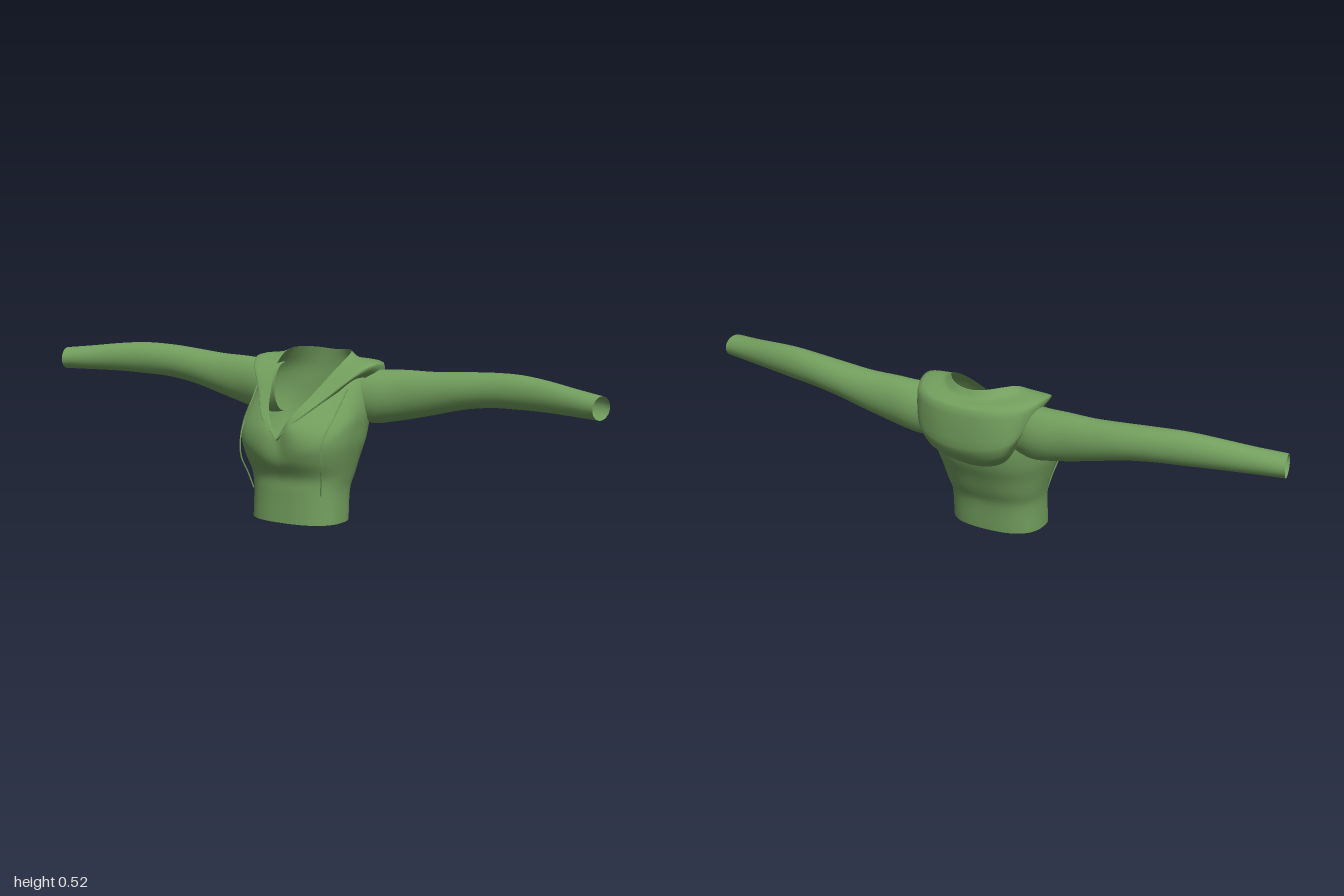
import * as THREE from 'three';
import { mergeVertices } from 'three/addons/utils/BufferGeometryUtils.js';

const V = (x, y, z) => new THREE.Vector3(x, y, z);

// Smooth surface from a function of u, v in 0..1
function surface(nu, nv, fn) {
  const pos = [], idx = [], w = nu + 1;
  for (let j = 0; j <= nv; j++)
    for (let i = 0; i <= nu; i++) pos.push(...fn(i / nu, j / nv).toArray());
  for (let j = 0; j < nv; j++)
    for (let i = 0; i < nu; i++) {
      const a = j * w + i, b = a + 1, c = b + w, d = a + w;
      idx.push(a, b, d, b, c, d);
    }
  let g = new THREE.BufferGeometry();
  g.setAttribute('position', new THREE.Float32BufferAttribute(pos, 3));
  g.setIndex(idx);
  g = mergeVertices(g, 1e-5);
  g.computeVertexNormals();
  return g;
}

// Smoothly interpolate a table whose first column is the key
function lookup(table, key) {
  let i = 0;
  while (i < table.length - 2 && key > table[i + 1][0]) i++;
  const at = (k) => table[Math.min(Math.max(k, 0), table.length - 1)];
  const [p, a, b, n] = [at(i - 1), at(i), at(i + 1), at(i + 2)];
  const h = b[0] - a[0], t = THREE.MathUtils.clamp((key - a[0]) / h, 0, 1);
  return a.slice(1).map((v, c) => {
    const m0 = (b[c + 1] - p[c + 1]) / (b[0] - p[0]) * h;
    const m1 = (n[c + 1] - a[c + 1]) / (n[0] - a[0]) * h;
    const t2 = t * t, t3 = t2 * t;
    return (2 * t3 - 3 * t2 + 1) * v + (t3 - 2 * t2 + t) * m0
      + (3 * t2 - 2 * t3) * b[c + 1] + (t3 - t2) * m1;
  });
}

// Torso levels: height, half width, front z, back z
const TORSO = [
  [0, .155, .168, -.047], [.1, .155, .166, -.06], [.145, .164, .168, -.08],
  [.2, .178, .197, -.102], [.25, .19, .212, -.125], [.3, .195, .205, -.138],
  [.35, .198, .168, -.14], [.4, .195, .115, -.14], [.45, .178, .058, -.14],
  [.5, .135, 0, -.136], [.53, .11, -.02, -.132],
];

// Sleeve stations: x, top y, bottom y, back z, front z
const SLEEVE = [
  [.14, .468, .31, -.125, 0], [.2, .47, .3, -.138, 0], [.25, .472, .308, -.14, -.01],
  [.3, .475, .318, -.136, -.02], [.4, .476, .342, -.135, -.028], [.5, .483, .367, -.134, -.03],
  [.6, .49, .382, -.126, -.03], [.7, .492, .387, -.11, -.022], [.8, .484, .39, -.09, -.008],
  [.9, .472, .39, -.066, .012], [1, .461, .39, -.045, .038],
];

// Hood sections from the V tip round to the back: neckline, rim, belly, lower edge
const HOOD = [
  [V(0, .274, .196), V(0, .268, .2), V(0, .266, .198), V(0, .262, .195)],
  [V(.04, .34, .178), V(.06, .33, .187), V(.063, .327, .183), V(.063, .325, .172)],
  [V(.075, .4, .117), V(.125, .4, .108), V(.128, .396, .103), V(.127, .392, .09)],
  [V(.108, .472, .035), V(.19, .47, .034), V(.193, .462, .028), V(.18, .45, .02)],
  [V(.115, .512, -.04), V(.215, .492, -.035), V(.205, .455, -.06), V(.178, .42, -.08)],
  [V(.092, .52, -.09), V(.185, .482, -.135), V(.172, .385, -.16), V(.135, .31, -.12)],
  [V(.05, .516, -.127), V(.105, .475, -.193), V(.1, .355, -.2), V(.08, .268, -.125)],
  [V(0, .512, -.138), V(0, .471, -.208), V(0, .345, -.211), V(0, .252, -.122)],
];
const mirrorX = (p) => V(-p.x, p.y, p.z);
const hoodCurves = [0, 1, 2, 3].map((c) => {
  const half = HOOD.map((s) => s[c]);
  return new THREE.CatmullRomCurve3(
    [...half, ...half.slice(0, -1).reverse().map(mirrorX)], false, 'catmullrom', .5);
});

// Point on the torso shell at a given angle (0 = front) and height
function shell(a, y) {
  const [hw, zf, zb] = lookup(TORSO, y);
  const zc = (zf + zb) / 2, e = 2 / 2.5;
  const pw = (v) => Math.sign(v) * Math.pow(Math.abs(v), e);
  const x = hw * pw(Math.sin(a));
  let z = zc + (zf - zb) / 2 * pw(Math.cos(a));
  // Shallow hollow between the two sides of the chest
  if (Math.cos(a) > 0) z -= .014 * Math.exp(-((x / .035) ** 2) - ((y - .26) / .05) ** 2);
  return V(x, y, z);
}

function torsoPoint(u, v) {
  const a = u * Math.PI * 2, neck = hoodCurves[0].getPoint(u);
  const p = shell(a, v * neck.y);
  const pull = neck.clone().sub(shell(a, neck.y));
  return p.addScaledVector(pull, THREE.MathUtils.smoothstep(v, .65, 1));
}

function hoodPoint(u, v) {
  const [inner, rim, belly, low] = hoodCurves.map((c) => c.getPoint(u));
  const back = THREE.MathUtils.smoothstep(-inner.z, 0, .12);
  // Crease behind the collar, then the fabric rises to the rim
  const fold = inner.clone().lerp(rim, .25);
  fold.y -= .014 * back;
  // Sagging underside of the bag
  const sag = belly.clone().lerp(low, .6);
  sag.z -= .022 * back;
  const section = new THREE.CatmullRomCurve3(
    [inner, fold, rim, belly, sag, low], false, 'catmullrom', .3);
  return section.getPoint(1 - v);
}

function sleevePoint(side) {
  return (u, v) => {
    const x = .14 + .86 * v, a = u * Math.PI * 2;
    const [top, bottom, zb, zf] = lookup(SLEEVE, x);
    const s = Math.sin(a) * side;
    const y = (top + bottom) / 2 + (top - bottom) / 2 * Math.cos(a);
    const z = (zf + zb) / 2 + (zf - zb) / 2 * s;
    // The cuff is cut square to the bent forearm
    const slant = .009 * (1 + s) * THREE.MathUtils.smoothstep(x, .7, 1);
    return V(side * (x - slant), y, z);
  };
}

export function createModel() {
  const group = new THREE.Group();
  const fabric = new THREE.MeshStandardMaterial({ color: 0x739f5e, side: THREE.DoubleSide });
  fabric.name = 'green fabric';

  const add = (name, geometry) => {
    const mesh = new THREE.Mesh(geometry, fabric);
    mesh.name = name;
    group.add(mesh);
  };

  add('torso', surface(84, 40, torsoPoint));
  add('hoodAndLapels', surface(84, 20, hoodPoint));

  for (const side of [1, -1]) {
    const label = side > 0 ? 'left' : 'right';
    add(label + 'Sleeve', surface(24, 40, sleevePoint(side)));
    // Thin drawstring hanging over the chest
    const cord = new THREE.CatmullRomCurve3([
      V(.165, .42, .05), V(.158, .34, .115), V(.15, .27, .172),
      V(.148, .2, .176), V(.136, .145, .155), V(.125, .095, .14),
    ].map((p) => V(p.x * side, p.y, p.z)));
    add(label + 'Drawstring', new THREE.TubeGeometry(cord, 24, .0025, 6));
  }
  return group;
}
